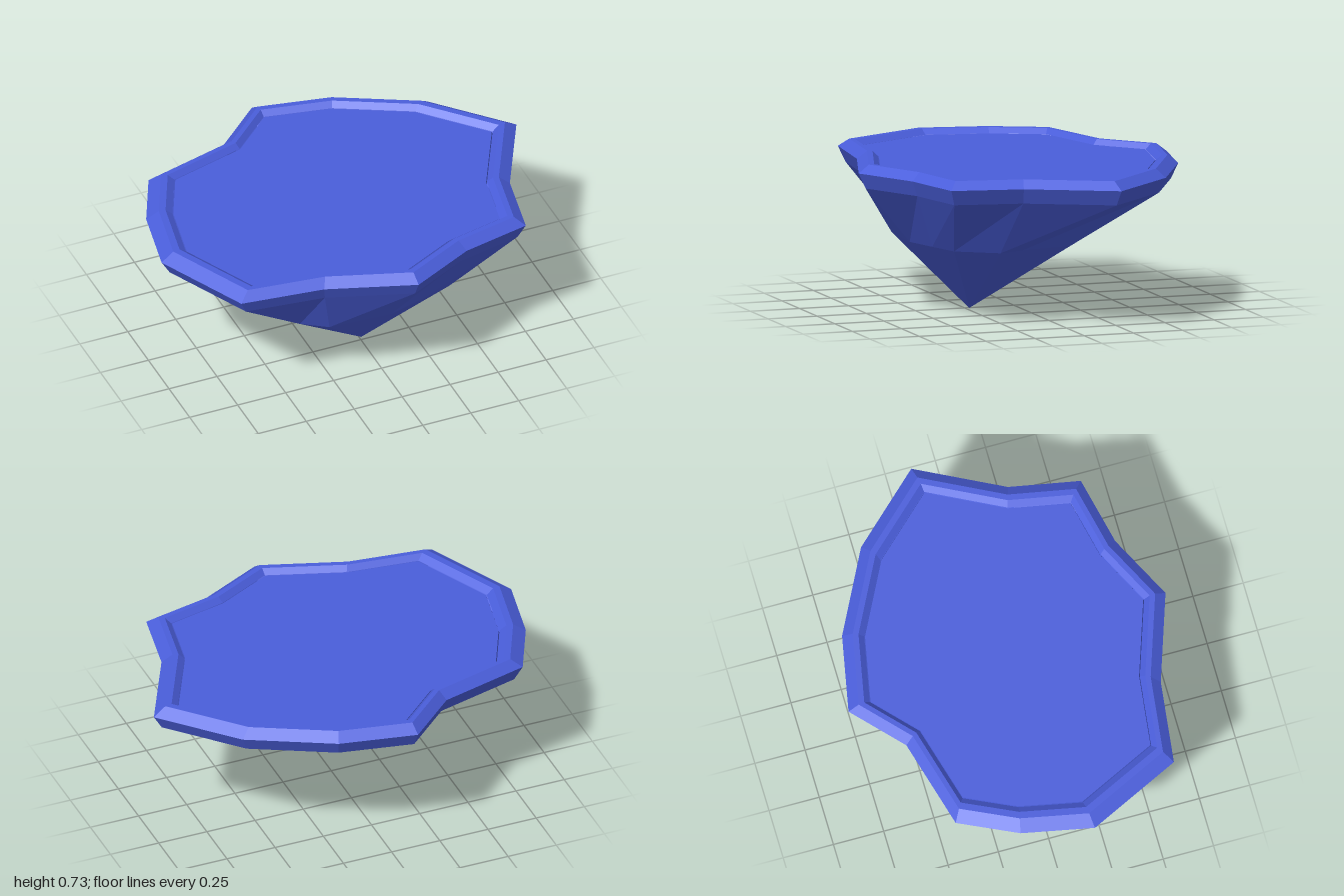
import * as THREE from 'three';

// Jagged plan of the rim, as [x, z], from the back round through +x
const outline = [
  [-0.11, -0.815], [0.27, -0.74], [0.68, -0.53], [1, -0.19], [0.785, 0.23],
  [0.72, 0.575], [0.38, 0.65], [0.06, 0.81], [-0.37, 0.665], [-0.78, 0.615],
  [-1, 0.16], [-0.93, -0.19], [-0.795, -0.475], [-0.35, -0.595],
];

// Irregular waist halfway down the underside
const waist = [
  [0.01, -0.3], [0.185, -0.23], [0.41, -0.14], [0.46, 0.12], [0.51, 0.25],
  [0.38, 0.44], [0.21, 0.49], [0.03, 0.54], [-0.28, 0.52], [-0.4, 0.44],
  [-0.41, 0.22], [-0.4, 0.05], [-0.35, -0.1], [-0.19, -0.27],
];

const ring = (points, y, scale = 1) => points.map(([x, z]) => [x * scale, y, z * scale]);
const point = (x, y, z) => outline.map(() => [x, y, z]);

// Joins rings, listed bottom to top, with flat facets
function loft(rings) {
  const positions = [];
  const tri = (a, b, c) => {
    const same = (p, q) => p.every((v, k) => v === q[k]);
    if (!same(a, b) && !same(b, c) && !same(a, c)) positions.push(...a, ...b, ...c);
  };
  for (let r = 0; r < rings.length - 1; r++) {
    const lower = rings[r], upper = rings[r + 1];
    for (let i = 0; i < lower.length; i++) {
      const j = (i + 1) % lower.length;
      tri(lower[i], upper[i], lower[j]);
      tri(lower[j], upper[i], upper[j]);
    }
  }
  const geometry = new THREE.BufferGeometry();
  geometry.setAttribute('position', new THREE.Float32BufferAttribute(positions, 3));
  geometry.computeVertexNormals();
  return geometry;
}

export function createModel() {
  const group = new THREE.Group();
  group.name = 'floatingRock';
  const material = new THREE.MeshStandardMaterial({
    color: 0x4a5edb, flatShading: true, side: THREE.DoubleSide,
  });
  const add = (name, rings) => {
    const mesh = new THREE.Mesh(loft(rings), material);
    mesh.name = name;
    group.add(mesh);
  };

  // Pointed underside, from the off-centre tip to the rim
  add('underside', [point(0.01, 0, 0.23), ring(waist, 0.34), ring(outline, 0.615, 0.955)]);

  // Bevelled raised rim with an inward slope
  add('rim', [
    ring(outline, 0.615, 0.955), ring(outline, 0.69), ring(outline, 0.73, 0.935),
    ring(outline, 0.73, 0.9), ring(outline, 0.705, 0.865),
  ]);

  // Flat top plate, set slightly below the rim
  add('topPlate', [ring(outline, 0.69, 0.865), ring(outline, 0.705, 0.86), point(0, 0.705, 0)]);

  return group;
}
